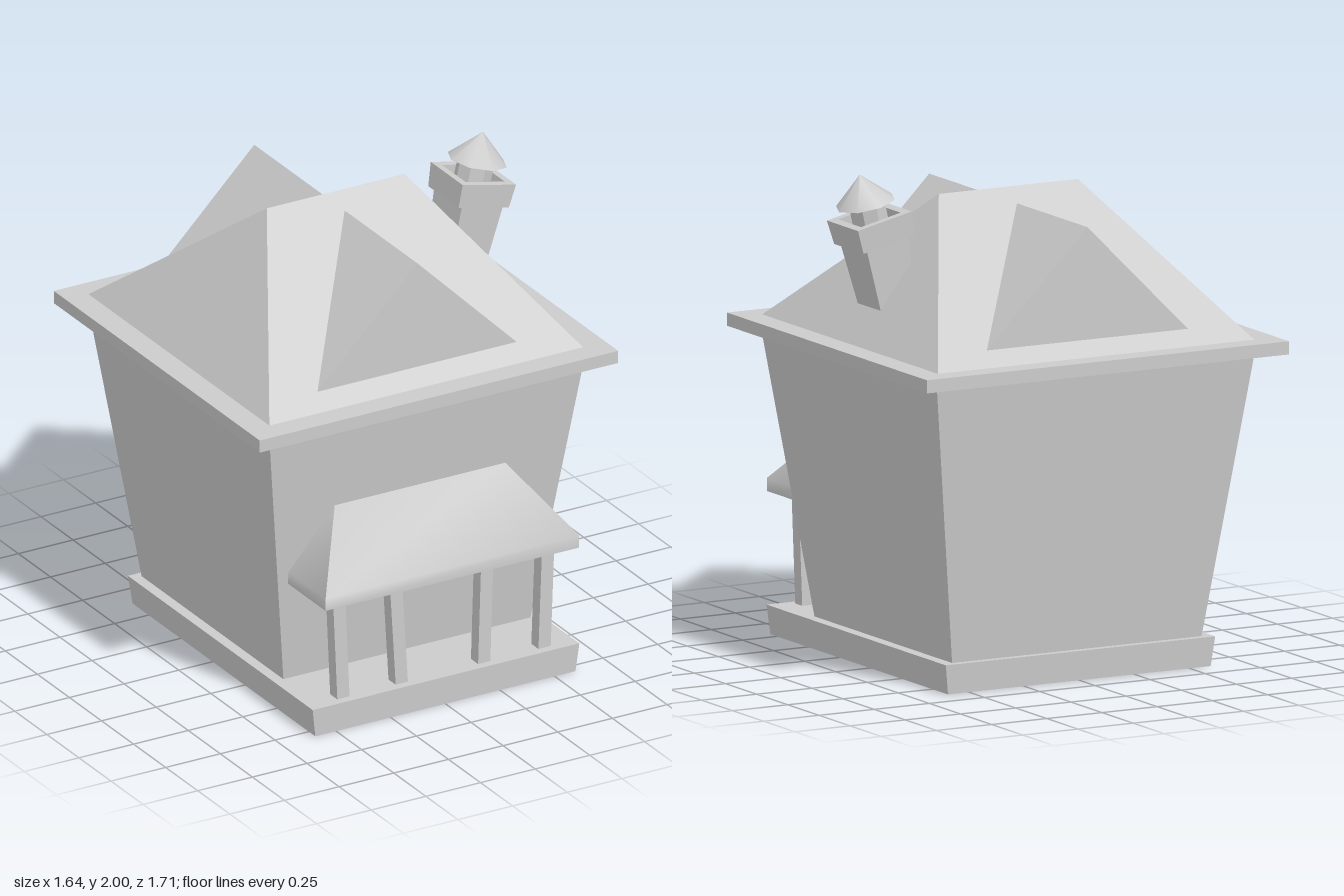
import * as THREE from 'three';
import { toCreasedNormals } from 'three/addons/utils/BufferGeometryUtils.js';

const material = new THREE.MeshStandardMaterial({ color: 0xcccccc });

function add(parent, name, geometry) {
  const mesh = new THREE.Mesh(geometry, material);
  mesh.name = name;
  parent.add(mesh);
  return mesh;
}

// Capped solid through rectangular sections, each [y, x0, x1, z0, z1]
function loft(sections, crease = 0.1) {
  const rings = sections.map(([y, x0, x1, z0, z1]) =>
    [[x0, z1], [x1, z1], [x1, z0], [x0, z0]].map(([x, z]) => new THREE.Vector3(x, y, z)));
  const positions = [];
  const tri = (a, b, c) => {
    if (new THREE.Triangle(a, b, c).getArea() > 1e-7)
      for (const p of [a, b, c]) positions.push(p.x, p.y, p.z);
  };
  const quad = (a, b, c, d) => { tri(a, b, c); tri(a, c, d); };
  for (let r = 0; r + 1 < rings.length; r++) {
    const lo = rings[r], hi = rings[r + 1];
    for (let i = 0; i < 4; i++) {
      const j = (i + 1) % 4;
      quad(lo[i], lo[j], hi[j], hi[i]);
    }
  }
  quad(...[...rings[0]].reverse());
  quad(...rings[rings.length - 1]);
  const geometry = new THREE.BufferGeometry();
  geometry.setAttribute('position', new THREE.Float32BufferAttribute(positions, 3));
  return toCreasedNormals(geometry, crease);
}

// Square section around the local axis
const square = (y, h, hz = h) => [y, -h, h, -hz, hz];

function createChimney() {
  const chimney = new THREE.Group();
  chimney.name = 'chimney';
  add(chimney, 'chimneyShaft', loft([square(-0.42, 0.073, 0.082), square(0, 0.096, 0.108)]));
  // Collar with a recess in its top
  add(chimney, 'chimneyCollar', loft([
    square(0, 0.118), square(0.1, 0.125), square(0.1, 0.092), square(0.05, 0.092),
  ]));
  const pot = new THREE.CylinderGeometry(0.075, 0.075, 0.12, 8);
  add(chimney, 'chimneyPot', toCreasedNormals(pot, 0.1)).position.y = 0.105;
  add(chimney, 'chimneyCap', new THREE.ConeGeometry(0.122, 0.119, 8)).position.set(0.005, 0.2165, 0);
  chimney.position.set(0.597, 1.728, -0.037);
  chimney.rotation.z = -0.225;
  return chimney;
}

export function createModel() {
  const house = new THREE.Group();
  house.name = 'house';

  // Plinth and flared walls
  add(house, 'plinth', loft([[0, -0.595, 0.595, -0.625, 0.8], [0.12, -0.61, 0.61, -0.635, 0.805]]));
  add(house, 'walls', loft([[0.12, -0.565, 0.565, -0.605, 0.5], [1.27, -0.72, 0.72, -0.757, 0.655]]));

  // Eaves slab, hipped roof and the gable crossing it
  add(house, 'eaves', loft([[1.27, -0.82, 0.82, -0.855, 0.75], [1.323, -0.82, 0.82, -0.855, 0.75]]));
  add(house, 'hipRoof', loft([[1.323, -0.717, 0.717, -0.76, 0.65], [1.888, -0.315, 0.315, -0.055, -0.055]]));
  const gable = new THREE.Shape([
    new THREE.Vector2(-0.455, 1.38), new THREE.Vector2(0.455, 1.38), new THREE.Vector2(0, 1.832),
  ]);
  const gableGeometry = new THREE.ExtrudeGeometry(gable, { depth: 1.27, bevelEnabled: false });
  add(house, 'gableRoof', gableGeometry).position.z = -0.69;

  // Porch roof with a soft lip
  add(house, 'porchRoof', loft([
    [0.565, -0.58, 0.58, 0.55, 0.855],
    [0.618, -0.58, 0.58, 0.55, 0.855],
    [0.878, -0.39, 0.39, 0.55, 0.602],
  ], 0.9));

  // Leaning porch posts: x at the foot, x at the top
  const w = 0.028, z = 0.741;
  for (const [foot, top] of [[-0.448, -0.468], [-0.181, -0.208], [0.196, 0.21], [0.472, 0.489]]) {
    add(house, 'porchPost', loft([
      [0.12, foot - w, foot + w, z - w, z + w],
      [0.57, top - w, top + w, z - w, z + w],
    ]));
  }

  house.add(createChimney());
  return house;
}
